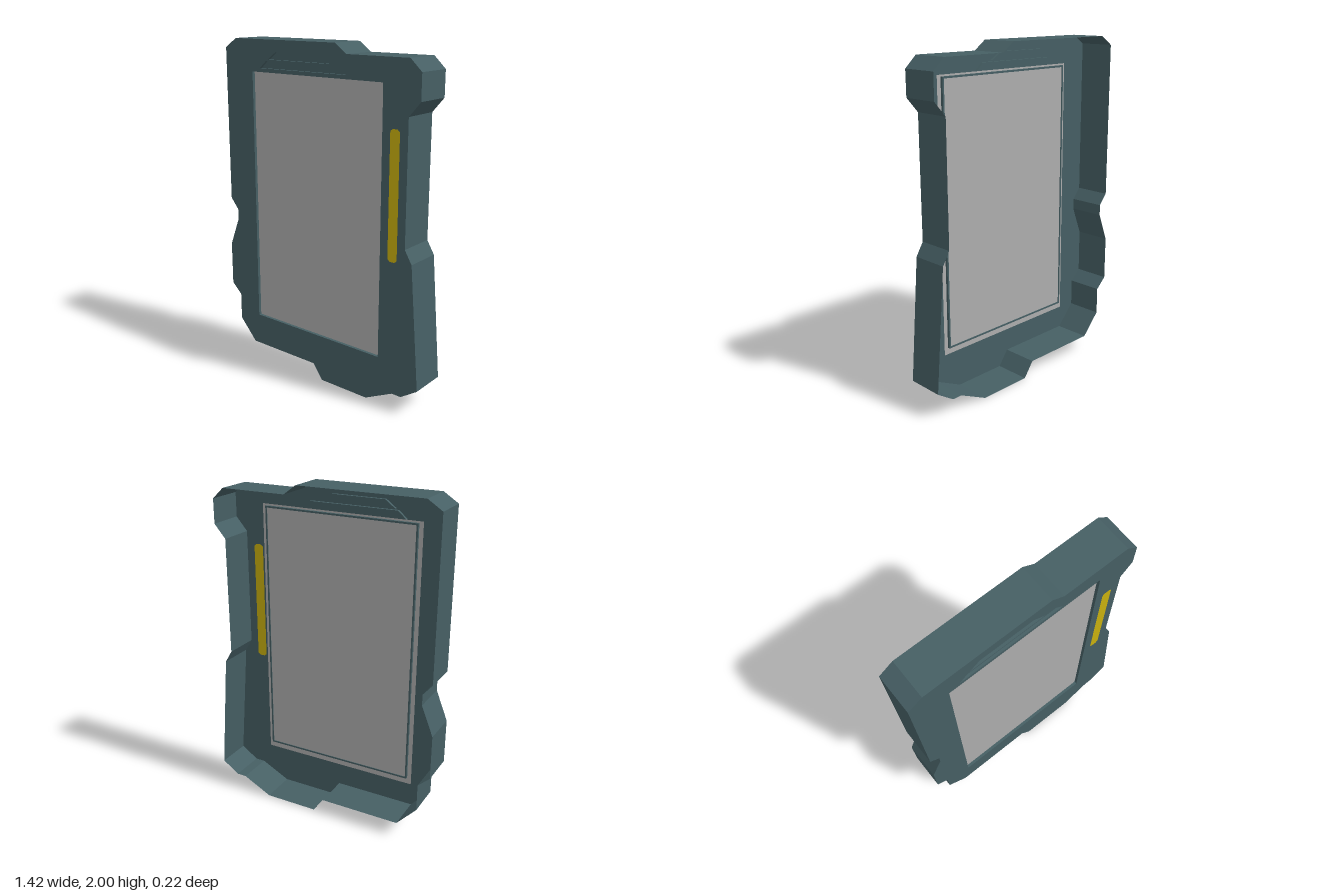
import * as THREE from 'three';

const FRONT = 0.11, BACK = -0.11, RECESS = 0.088;

const mat = (name, color) => new THREE.MeshStandardMaterial({ name, color, side: THREE.DoubleSide });
const toVecs = (pts) => pts.map(([x, y]) => new THREE.Vector2(x, y));
const rect = (x0, y0, x1, y1) => [[x0, y0], [x1, y0], [x1, y1], [x0, y1]];

// Flat sheet facing +z, with optional holes
function sheet(outline, z, holes = []) {
  const shape = new THREE.Shape(toVecs(outline));
  holes.forEach((h) => shape.holes.push(new THREE.Path(toVecs(h))));
  return new THREE.ShapeGeometry(shape).translate(0, 0, z);
}

// Thin wall swept along z round a counter-clockwise outline, facing outwards
function wall(outline, zFront, zBack) {
  const pos = [];
  outline.forEach(([ax, ay], i) => {
    const [bx, by] = outline[(i + 1) % outline.length];
    pos.push(ax, ay, zFront, ax, ay, zBack, bx, by, zBack);
    pos.push(ax, ay, zFront, bx, by, zBack, bx, by, zFront);
  });
  const g = new THREE.BufferGeometry();
  g.setAttribute('position', new THREE.Float32BufferAttribute(pos, 3));
  g.computeVertexNormals();
  return g;
}

export function createModel() {
  const group = new THREE.Group();
  const casing = mat('slate teal casing', 0x465f64);
  const screenGrey = mat('screen grey', 0xaeaeae);
  const yellow = mat('yellow accent', 0xcbb20e);

  const add = (name, geometry, material) => {
    const mesh = new THREE.Mesh(geometry, material);
    mesh.name = name;
    group.add(mesh);
  };

  // Outline of the casing, counter-clockwise from the lower right-hand corner
  const outline = [
    [-0.525, 0.09], [-0.03, 0.09], [0.035, 0], [0.365, 0], [0.545, 0.09], [0.605, 0.09],
    [0.71, 0.16], [0.65, 0.88], [0.605, 0.955], [0.605, 1.655], [0.675, 1.735], [0.675, 1.88],
    [0.605, 1.945], [0.205, 1.945], [0.13, 2], [-0.615, 2], [-0.7, 1.945], [-0.7, 1.02],
    [-0.645, 0.955], [-0.645, 0.89], [-0.715, 0.715], [-0.715, 0.45], [-0.645, 0.385], [-0.645, 0.22],
  ];
  const opening = rect(-0.485, 0.285, 0.445, 1.815);
  const rimOuter = rect(-0.495, 0.275, 0.455, 1.825);
  const grooves = [
    [[-0.425, 1.837], [0.205, 1.837], [0.16, 1.88], [-0.375, 1.88]],
    [[-0.36, 1.888], [0.09, 1.888], [0.02, 1.932], [-0.3, 1.932]],
  ];
  const bar = [
    [0.51, 0.868], [0.54, 0.868], [0.555, 0.88], [0.555, 1.573],
    [0.54, 1.585], [0.51, 1.585], [0.495, 1.573], [0.495, 0.88],
  ];

  // Hollow casing, open at the back
  add('frontPlate', sheet(outline, FRONT, [opening, ...grooves, bar]), casing);
  add('sideWalls', wall(outline, FRONT, BACK), casing);

  // Recessed screen held in a narrow rim
  add('screen', sheet(opening, RECESS + 0.004), screenGrey);
  add('screenRimInner', wall(opening, FRONT, RECESS), casing);
  add('screenRimOuter', wall(rimOuter, FRONT, RECESS), casing);
  add('screenRimBack', sheet(rimOuter, RECESS, [opening]), casing);

  // Backing border behind the front plate
  add('screenBorder', sheet(rect(-0.52, 0.235, 0.48, 1.835), FRONT - 0.007, [rimOuter]), screenGrey);

  // Shallow grooves above the screen
  grooves.forEach((g, i) => {
    add(`grooveWall${i + 1}`, wall(g, FRONT, RECESS + 0.005), casing);
    add(`grooveFloor${i + 1}`, sheet(g, RECESS + 0.005), casing);
  });

  // Accent strip set flush in the plate
  add('accentBar', sheet(bar, FRONT), yellow);

  return group;
}
